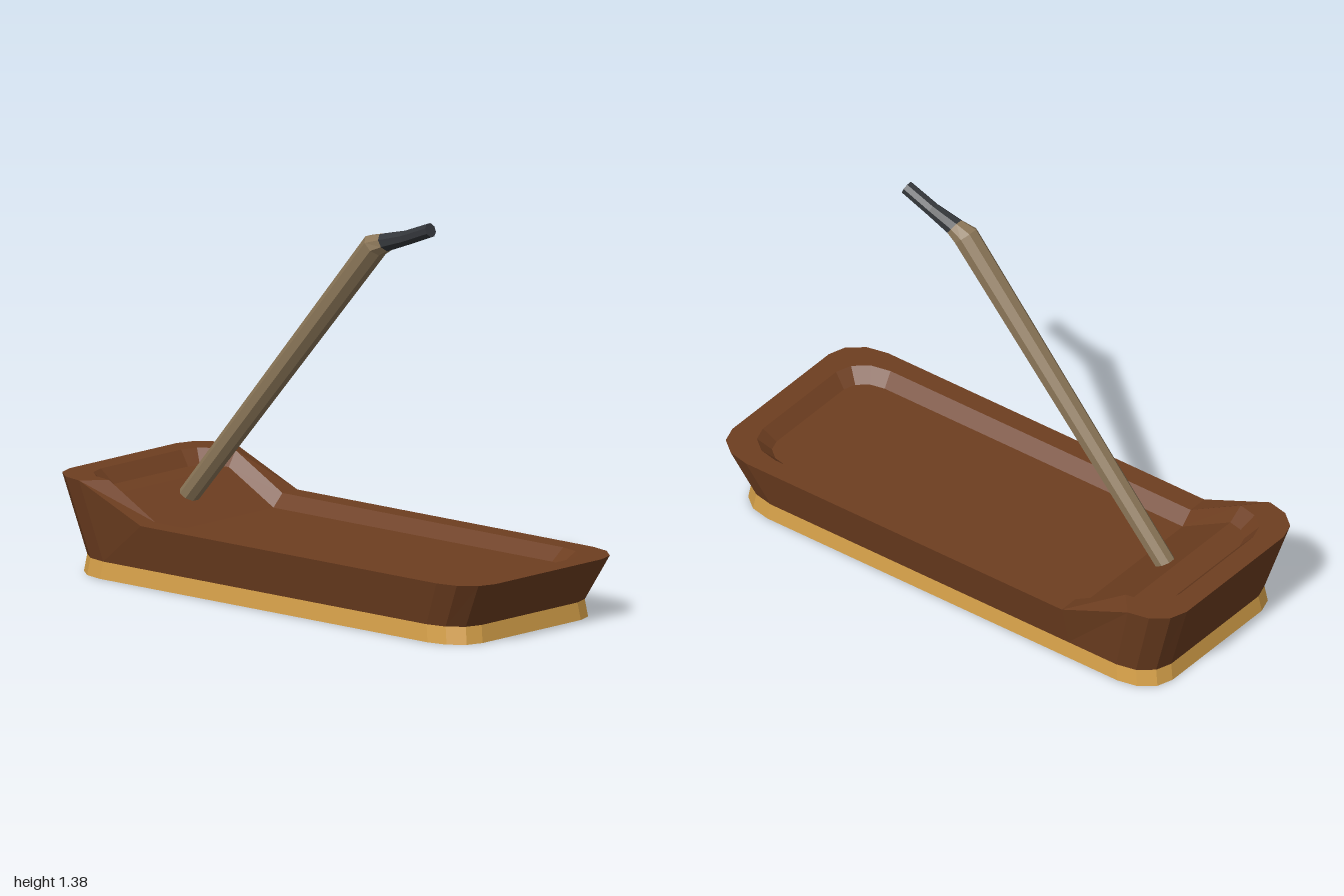
import * as THREE from 'three';

const material = (color) => new THREE.MeshStandardMaterial({ color, flatShading: true });

// Skin a stack of closed loops with quads; optionally cap the first and last loop.
function loft(name, loops, mat, capStart, capEnd) {
  const pos = [];
  const quad = (a, b, c, d) => [a, b, c, a, c, d].forEach((p) => pos.push(p.x, p.y, p.z));
  const n = loops[0].length;
  for (let k = 0; k < loops.length - 1; k++) {
    const a = loops[k], b = loops[k + 1];
    for (let i = 0; i < n; i++) {
      const j = (i + 1) % n;
      quad(a[i], a[j], b[j], b[i]);
    }
  }
  // Loops are symmetric, so a cap is a strip between mirrored points
  const cap = (l, flip) => {
    for (let i = 0; i < n / 2 - 1; i++) {
      const q = [l[i], l[i + 1], l[n - 2 - i], l[n - 1 - i]];
      quad(...(flip ? q.reverse() : q));
    }
  };
  if (capStart) cap(loops[0], true);
  if (capEnd) cap(loops[loops.length - 1], false);
  const geo = new THREE.BufferGeometry();
  geo.setAttribute('position', new THREE.Float32BufferAttribute(pos, 3));
  geo.computeVertexNormals();
  const mesh = new THREE.Mesh(geo, mat);
  mesh.name = name;
  return mesh;
}

// Rounded rectangle with half sizes w, d and corner radii rx, rz.
// The -x end sits at height high, the rest at low, with a ramp ending at x = -0.55.
function trayLoop(w, d, rx, rz, low, high = low) {
  const half = [];
  const corner = (i) => {
    const t = (i / 3) * Math.PI / 2;
    return [w - rx + rx * Math.cos(t), d - rz + rz * Math.sin(t)];
  };
  for (let i = 0; i <= 3; i++) {
    const [x, z] = corner(i);
    half.push(new THREE.Vector3(-x, high, z));
  }
  half.push(new THREE.Vector3(-0.55, low, d));
  for (let i = 3; i >= 0; i--) {
    const [x, z] = corner(i);
    half.push(new THREE.Vector3(x, low, z));
  }
  const back = half.map((p) => new THREE.Vector3(p.x, p.y, -p.z)).reverse();
  return [...half, ...back];
}

// Octagon around (x, y), facing along the given angle in the xy plane
function handleRing([x, y, degrees, r]) {
  const a = THREE.MathUtils.degToRad(degrees);
  return Array.from({ length: 8 }, (_, i) => {
    const t = ((i + 0.5) / 8) * Math.PI * 2;
    const u = r * Math.cos(t);
    return new THREE.Vector3(x - Math.sin(a) * u, y + Math.cos(a) * u, r * Math.sin(t) + 0.004);
  });
}

export function createModel() {
  const group = new THREE.Group();
  group.name = 'trayWithHandle';

  // Pale sole under the tray
  group.add(loft('sole', [
    trayLoop(0.92, 0.374, 0.15, 0.12, 0),
    trayLoop(0.91, 0.368, 0.15, 0.12, 0.062),
  ], material(0xd8a24a), true, true));

  // Flared tray: outer wall, rim, inner wall and recessed floor
  group.add(loft('tray', [
    trayLoop(0.91, 0.368, 0.15, 0.12, 0.062),
    trayLoop(1, 0.405, 0.16, 0.13, 0.225, 0.345),
    trayLoop(0.917, 0.328, 0.147, 0.12, 0.225, 0.345),
    trayLoop(0.87, 0.282, 0.11, 0.09, 0.18, 0.294),
  ], material(0x6e3e20), false, true));

  // Slanted wooden handle with a bent dark grip
  const bend = [0.237, 1.287, 32, 0.035];
  group.add(loft('handle', [
    [-0.705, 0.232, 49.5, 0.037],
    [0.19, 1.27, 47, 0.047],
    bend,
  ].map(handleRing), material(0x8b7658), true, true));
  group.add(loft('grip', [
    bend,
    [0.335, 1.317, 20, 0.027],
    [0.448, 1.361, 22, 0.026],
  ].map(handleRing), material(0x33363a), true, true));

  return group;
}
